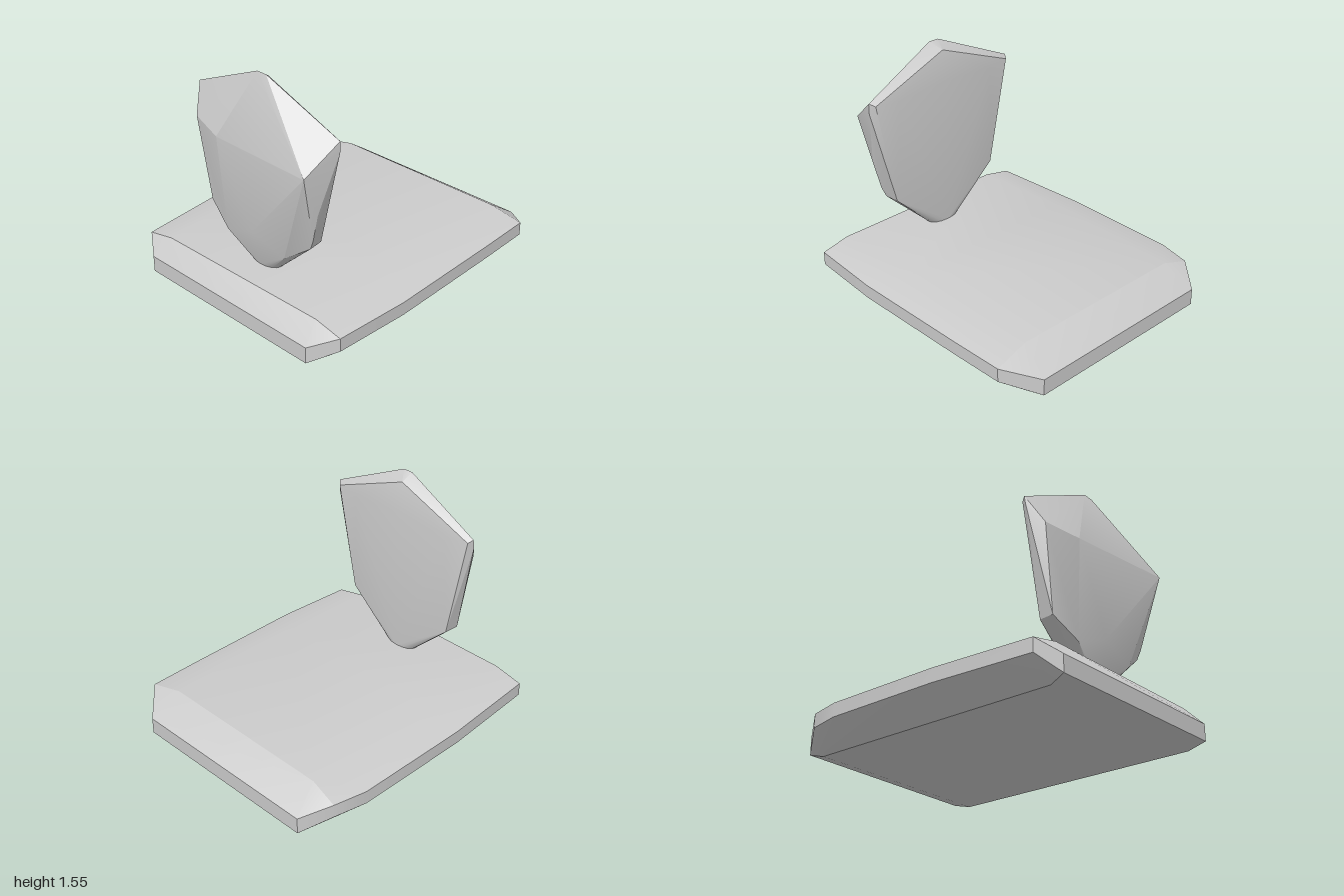
import * as THREE from 'three';
import { ConvexGeometry } from 'three/addons/geometries/ConvexGeometry.js';
import { toCreasedNormals } from 'three/addons/utils/BufferGeometryUtils.js';

const material = new THREE.MeshStandardMaterial({ color: 0xcccccc });

// Chiselled stone: the hull around a few corner points, softened on shallow edges
function stone(name, points, crease) {
  const hull = new ConvexGeometry(points.map((p) => new THREE.Vector3(...p)));
  const mesh = new THREE.Mesh(toCreasedNormals(hull, crease), material);
  mesh.name = name;
  return mesh;
}

// Flat slab with bevelled rims and cut corners
function createSlab() {
  const points = [];
  // Vertical front and back faces
  for (const y of [0.03, 0.14]) {
    points.push([0.66, y, 1], [-0.7, y, 0.98], [0.66, y, -1], [-0.68, y, -0.99]);
  }
  // Upright side bands, slightly uneven
  const sides = [
    [0.82, 0.88], [0.86, 0.37], [0.86, -0.45], [0.855, -0.82],
    [-0.83, 0.88], [-0.87, 0.2], [-0.86, -0.6], [-0.81, -0.82],
  ];
  for (const [x, z] of sides) points.push([x, 0.13, z], [x, 0.22, z]);
  // Underside and gently domed top
  for (const s of [-1, 1]) {
    points.push([s * 0.67, 0, 0.87], [s * 0.67, 0, -0.88]);
    points.push([s * 0.63, 0.262, 0.88], [s * 0.65, 0.284, 0.2], [s * 0.62, 0.275, -0.8]);
  }
  return stone('baseSlab', points, 0.45);
}

// Upright shield-shaped stone that tapers to a small foot
function createHeadstone() {
  const points = [
    // Peak
    [-0.02, 1.55, 0.66], [0.05, 1.55, 0.66], [0, 1.5, 0.59],
    // Shoulders
    [0.58, 1.3, 0.62], [0.58, 1.23, 0.62], [-0.57, 1.3, 0.62], [-0.57, 1.24, 0.63],
    // Brow across the front
    [0.51, 1.12, 0.84], [0.08, 1.08, 0.805], [-0.26, 1.09, 0.785], [-0.5, 1.12, 0.72],
    [0.07, 1.3, 0.745],
    // Lower front and flanks
    [0.5, 0.83, 0.72], [0.45, 0.63, 0.71], [0.42, 0.56, 0.7], [-0.42, 0.56, 0.7],
    [0.25, 0.44, 0.75], [0, 0.53, 0.77], [-0.24, 0.44, 0.745],
    // Slightly bowed back
    [0, 1.3, 0.555], [0.38, 1.27, 0.57], [-0.38, 1.27, 0.57],
    [0.55, 1.28, 0.59], [-0.55, 1.28, 0.59], [0.41, 0.56, 0.6], [-0.41, 0.56, 0.6],
  ];
  // Rounded foot
  for (let i = 0; i < 16; i++) {
    const a = (i / 16) * Math.PI * 2;
    points.push([0.11 * Math.cos(a), 0.265, 0.645 + 0.06 * Math.sin(a)]);
  }
  return stone('headstone', points, 0.4);
}

export function createModel() {
  const model = new THREE.Group();
  model.name = 'stoneMarker';
  model.add(createSlab(), createHeadstone());
  return model;
}
